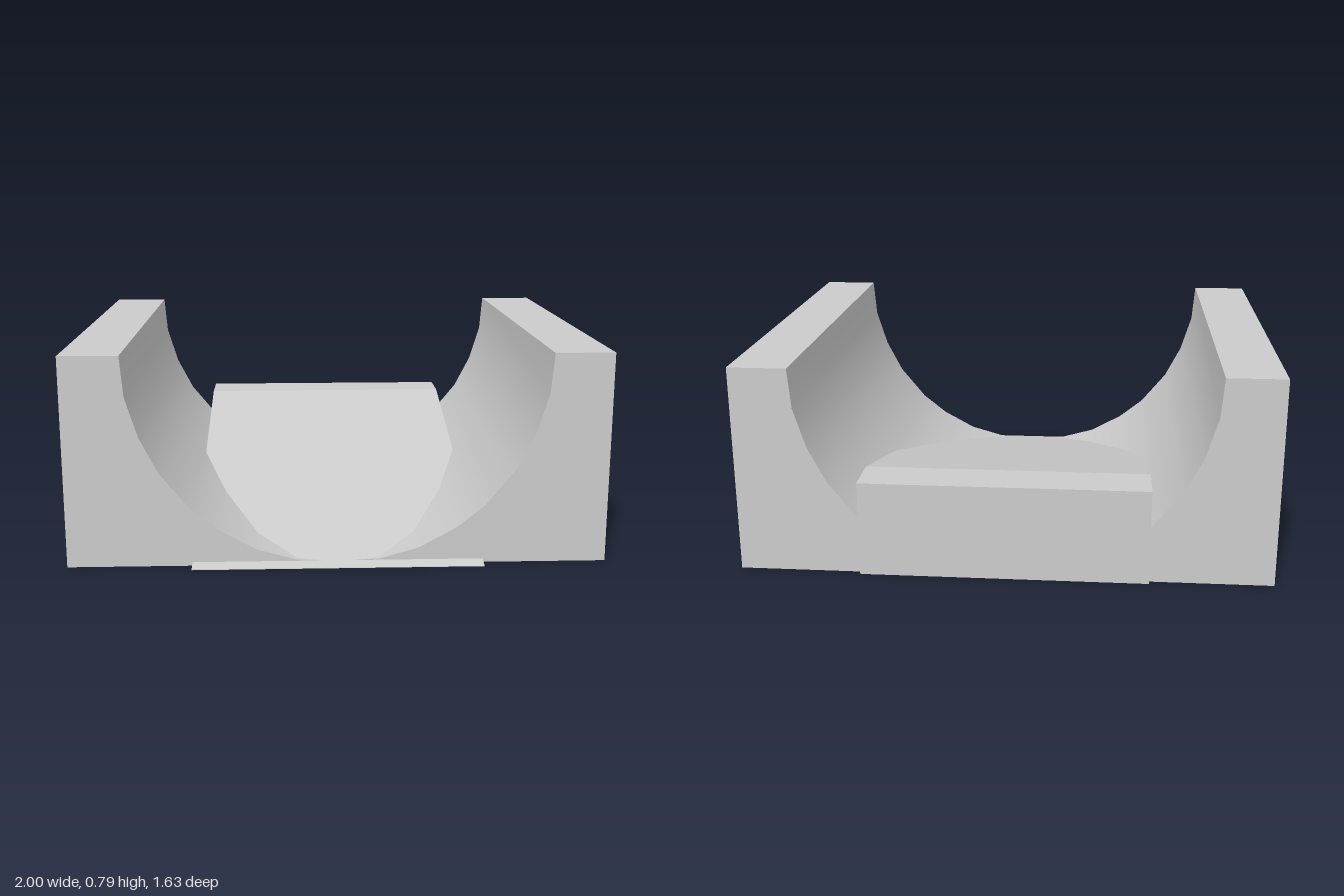
import * as THREE from 'three';

const FRONT = 0.766, BACK = -0.797, TOP = 0.79;
const DEPTH = FRONT - BACK, MID = (FRONT + BACK) / 2;

// Half of the trough section, from the rim down to the middle
const half = [[0.78, TOP], [0.768, 0.64], [0.722, 0.49], [0.653, 0.355], [0.543, 0.22],
  [0.437, 0.135], [0.3, 0.06], [0.155, 0.019], [0, 0.011]];
const profile = [...half.map(([x, y]) => [-x, y]), ...half.slice(0, -1).reverse()];

export function createModel() {
  const model = new THREE.Group();
  const shell = new THREE.MeshStandardMaterial({ color: 0xcccccc, side: THREE.DoubleSide });
  const solid = new THREE.MeshStandardMaterial({ color: 0xcccccc });
  const add = (name, geometry, material = shell) => {
    const mesh = new THREE.Mesh(geometry, material);
    mesh.name = name;
    model.add(mesh);
    return mesh;
  };

  // Smooth trough: a sheet bent along the section
  const trough = new THREE.PlaneGeometry(1, DEPTH, profile.length - 1, 1);
  trough.rotateX(-Math.PI / 2);
  const pos = trough.attributes.position;
  for (let i = 0; i < pos.count; i++) {
    const [x, y] = profile[i % profile.length];
    pos.setXYZ(i, x, y, pos.getZ(i) + MID);
  }
  trough.computeVertexNormals();
  add('trough', trough);

  // Flat end faces; the block is hollow and open underneath
  const endShape = new THREE.Shape(
    [[-1, 0], [1, 0], [1, TOP], ...[...profile].reverse(), [-1, TOP]]
      .map(([x, y]) => new THREE.Vector2(x, y)));
  add('frontFace', new THREE.ShapeGeometry(endShape)).position.z = FRONT;
  const back = add('backFace', new THREE.ShapeGeometry(endShape));
  back.rotation.y = Math.PI;
  back.position.z = BACK;

  // Outer walls and top ledges
  for (const [side, s] of [['left', 1], ['right', -1]]) {
    const wall = new THREE.PlaneGeometry(DEPTH, TOP).rotateY(s * Math.PI / 2);
    add(side + 'Wall', wall.translate(s, TOP / 2, MID));
    const ledge = new THREE.PlaneGeometry(0.22, DEPTH).rotateX(-Math.PI / 2);
    add(side + 'Ledge', ledge.translate(s * 0.89, TOP, MID));
  }

  // Solid ramp with a flat platform at the back
  const rampShape = new THREE.Shape(
    [[-0.817, 0], [0.813, 0], [0.813, 0.002], [-0.64, 0.365], [-0.817, 0.365]]
      .map(([z, y]) => new THREE.Vector2(z, y)));
  const ramp = new THREE.ExtrudeGeometry(rampShape, { depth: 1.08, bevelEnabled: false });
  ramp.rotateY(-Math.PI / 2).translate(0.54, 0, 0);
  add('ramp', ramp, solid);

  return model;
}
